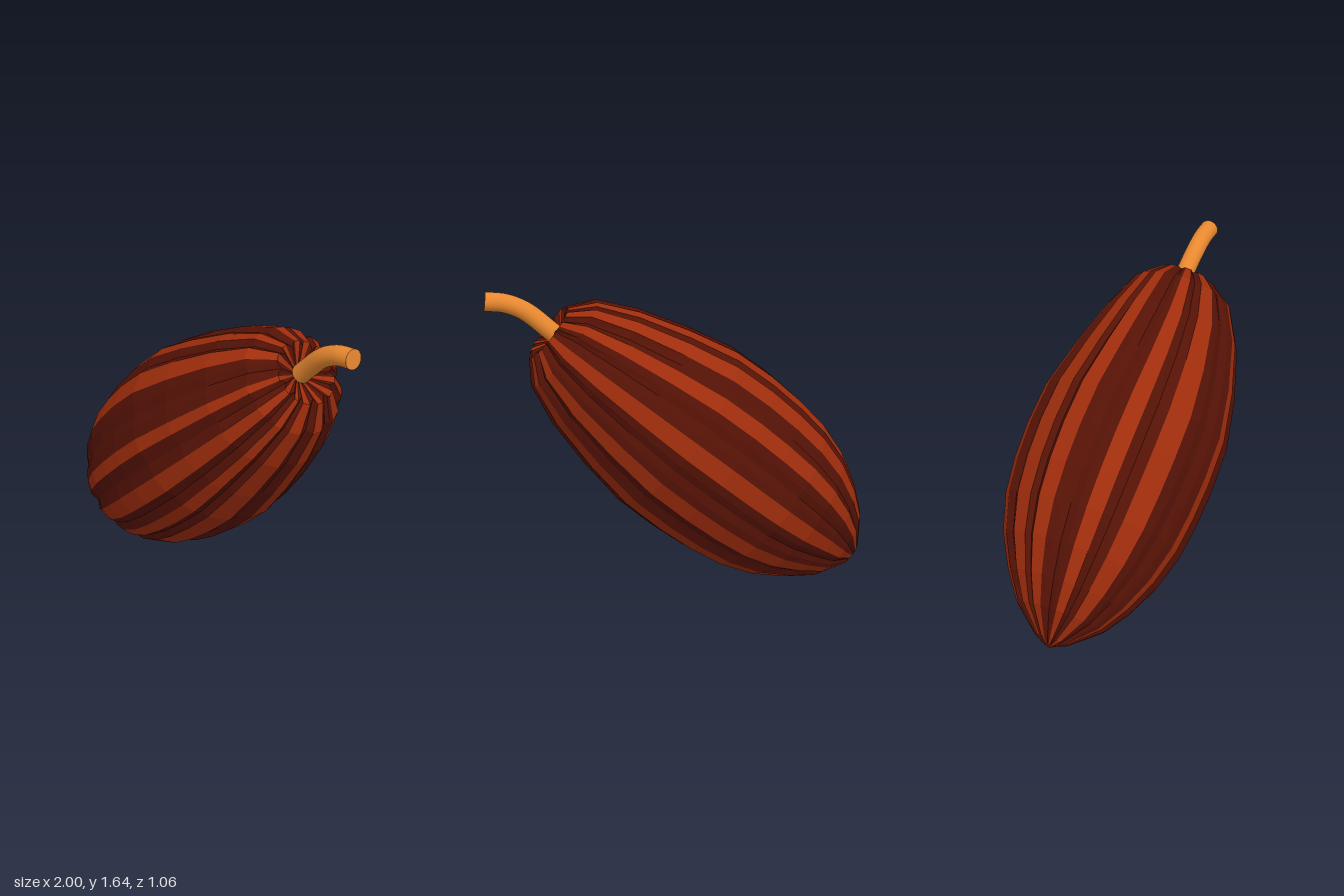
import * as THREE from 'three';

// Pod axis: runs from the pointed tip up to the hollow around the stem
const TIP = new THREE.Vector3(-0.98, 0.09, -0.075);
const AXIS = new THREE.Vector3(1.606, 1.317, 0.14).normalize();
const LOW = new THREE.Vector3(0.634, -0.773, 0);
const SIDE = new THREE.Vector3().crossVectors(LOW, AXIS).normalize();

// Cross-sections: [distance along axis, radius, groove depth, shift down, shift sideways]
const RINGS = [
  [0, 0.004, 0, 0, 0], [0.04, 0.09, 0.14, 0.005, 0], [0.166, 0.24, 0.09, 0.005, 0],
  [0.3, 0.336, 0.065, 0, 0], [0.47, 0.425, 0.05, 0, -0.003], [0.66, 0.484, 0.045, 0, -0.003],
  [0.85, 0.51, 0.04, 0, 0], [1.05, 0.52, 0.04, 0, 0.006], [1.28, 0.512, 0.04, 0.003, 0.015],
  [1.55, 0.455, 0.045, 0.008, 0.025], [1.82, 0.376, 0.06, 0.012, 0.027],
  [2.03, 0.28, 0.1, 0.012, 0.015], [2.13, 0.165, 0.18, 0.012, 0.005], [2.07, 0.03, 0.1, 0, 0],
];

// Bright ridges: [angle in degrees, half width]
const RIDGES = [
  [2, 5.5], [30, 7], [50, 4], [72, 5.5], [98, 4], [138, 7], [163, 5],
  [194, 5.5], [213, 6.5], [238, 5], [270, 5.5], [302, 5.5], [330, 6.5],
];

// Points around one section; each starts a bright or a dark strip
function sectionPoints() {
  const points = [];
  RIDGES.forEach(([angle, half], i) => {
    const [next, nextHalf] = RIDGES[(i + 1) % RIDGES.length];
    const start = angle + half;
    const gap = next + (i === RIDGES.length - 1 ? 360 : 0) - nextHalf - start;
    points.push({ angle: angle - half, groove: 0, bright: true });
    points.push({ angle: start, groove: 0, bright: false });
    if (gap > 17) points.push({ angle: start + gap * 0.25, groove: 0.3, bright: false });
    points.push({ angle: start + gap * 0.5, groove: 1, bright: false });
    if (gap > 17) points.push({ angle: start + gap * 0.75, groove: 0.3, bright: false });
  });
  return points;
}

function podPoint([along, radius, depth, low, side], { angle, groove }) {
  const a = THREE.MathUtils.degToRad(angle);
  const r = radius * (1 - depth * groove);
  return TIP.clone()
    .addScaledVector(AXIS, along)
    .addScaledVector(LOW, low + r * Math.cos(a))
    .addScaledVector(SIDE, side + r * Math.sin(a));
}

// Gathers all lengthwise strips of one colour
function stripGeometry(bright) {
  const points = sectionPoints();
  const position = [];
  points.forEach((p, j) => {
    if (p.bright !== bright) return;
    const q = points[(j + 1) % points.length];
    for (let i = 0; i < RINGS.length - 1; i++) {
      const a = podPoint(RINGS[i], p), b = podPoint(RINGS[i + 1], p);
      const c = podPoint(RINGS[i + 1], q), d = podPoint(RINGS[i], q);
      for (const v of [a, b, c, a, c, d]) position.push(v.x, v.y, v.z);
    }
  });
  const geometry = new THREE.BufferGeometry();
  geometry.setAttribute('position', new THREE.Float32BufferAttribute(position, 3));
  geometry.computeVertexNormals();
  return geometry;
}

function addMesh(parent, name, geometry, color, flatShading) {
  const mesh = new THREE.Mesh(geometry, new THREE.MeshStandardMaterial({ color, flatShading }));
  mesh.name = name;
  parent.add(mesh);
  return mesh;
}

export function createModel() {
  const model = new THREE.Group();
  model.name = 'cacaoPod';

  // Husk: bright ridges with dark grooves between them
  const husk = new THREE.Group();
  husk.name = 'husk';
  addMesh(husk, 'ridges', stripGeometry(true), 0x9f2d0c, true);
  addMesh(husk, 'grooves', stripGeometry(false), 0x551206, true);
  model.add(husk);

  // Curved stem with a flat cut end
  const stem = new THREE.Group();
  stem.name = 'stem';
  const path = new THREE.CatmullRomCurve3([
    new THREE.Vector3(0.59, 1.37, 0.055), new THREE.Vector3(0.68, 1.455, 0.063),
    new THREE.Vector3(0.79, 1.545, 0.083), new THREE.Vector3(0.89, 1.587, 0.093),
    new THREE.Vector3(0.988, 1.598, 0.1),
  ]);
  const color = 0xe88830;
  addMesh(stem, 'stalk', new THREE.TubeGeometry(path, 16, 0.05, 20), color, false);
  const cut = addMesh(stem, 'cutEnd', new THREE.CircleGeometry(0.05, 20), color, false);
  cut.position.copy(path.getPoint(1));
  cut.lookAt(path.getPoint(1).add(path.getTangent(1)));
  model.add(stem);

  return model;
}
